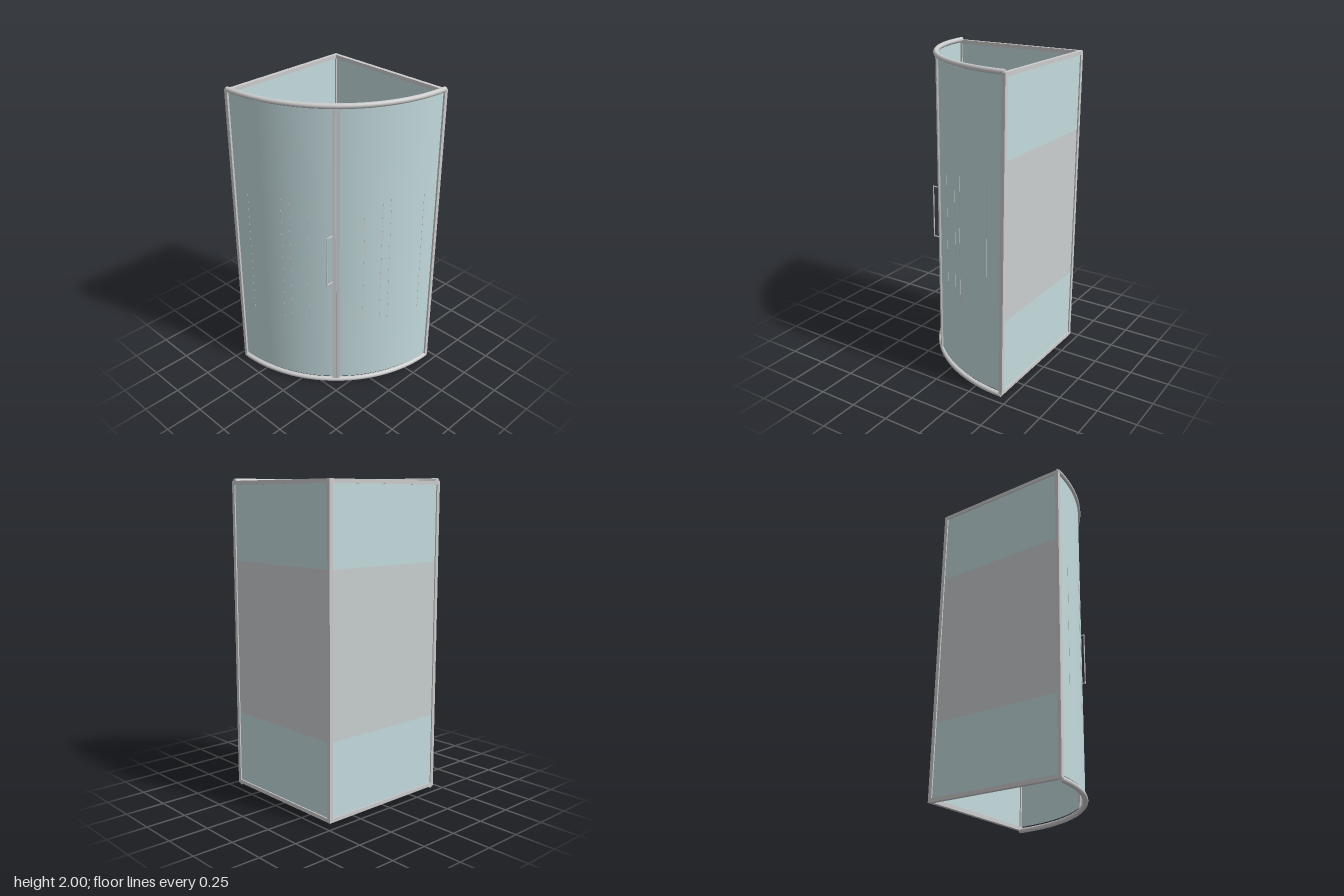
import * as THREE from 'three';

const C = -0.447;   // centre of the quarter circle, on both x and z
const R = 0.887;    // radius of the curved front
const RAIL = 0.016; // radius of the round rails
const END = 0.446;  // half length of the straight sides

export function createModel() {
  const root = new THREE.Group();
  const metal = new THREE.MeshStandardMaterial({ color: 0xcccccc });
  const glass = new THREE.MeshStandardMaterial({ color: 0xc4dbde, side: THREE.DoubleSide });
  const frosted = new THREE.MeshStandardMaterial({ color: 0xc9ced0 });

  const add = (name, geometry, material, x = 0, y = 0, z = 0, parent = root) => {
    const mesh = new THREE.Mesh(geometry, material);
    mesh.name = name;
    mesh.position.set(x, y, z);
    parent.add(mesh);
    return mesh;
  };
  const box = (name, w, h, d, x, y, z, material = metal) =>
    add(name, new THREE.BoxGeometry(w, h, d), material, x, y, z);

  // Straight walls: top and bottom rails, posts, and glass with a frosted middle band
  const S = 0.024;
  for (const alongX of [true, false]) {
    const side = alongX ? 'back' : 'right';
    const wall = (name, len, h, thick, y, material) => alongX
      ? box(name, len, h, thick, -0.003, y, -END, material)
      : box(name, thick, h, len, -END, y, -0.003, material);
    for (const y of [0.028, 1.972]) wall(side + 'Rail', 0.91, S, S, y, metal);
    for (const [y0, y1, m, n] of [[0.04, 0.5, glass, 'LowerGlass'],
      [0.5, 1.49, frosted, 'FrostedBand'], [1.49, 1.96, glass, 'UpperGlass']]) {
      wall(side + n, 0.88, y1 - y0, 0.008, (y0 + y1) / 2, m);
    }
  }
  for (const [x, z] of [[-END, -END], [0.44, -END], [-END, 0.44]]) {
    box('cornerPost', S, 1.968, S, x, 1, z);
  }

  // Round curved rails with closed ends
  for (const y of [RAIL, 2 - RAIL]) {
    const rail = new THREE.Group();
    rail.name = 'curvedRail';
    rail.position.set(C, y, C);
    root.add(rail);
    const arc = new THREE.TorusGeometry(R, RAIL, 20, 64, Math.PI / 2).rotateX(Math.PI / 2);
    add('railArc', arc, metal, 0, 0, 0, rail);
    const cap = new THREE.CircleGeometry(RAIL, 20);
    add('railEnd', cap, metal, R, 0, 0, rail).rotation.y = Math.PI;
    add('railEnd', cap, metal, 0, 0, R, rail).rotation.y = -Math.PI / 2;
  }

  // Two curved glass doors
  for (const start of [0, Math.PI / 4]) {
    add('curvedDoor', new THREE.CylinderGeometry(R, R, 1.926, 32, 1, true, start, Math.PI / 4),
      glass, C, 1.003, C);
  }

  // Paired door posts where the doors meet
  for (const s of [-1, 1]) {
    const a = Math.PI / 4 + s * 0.0135;
    box('doorPost', 0.021, 1.95, 0.02, C + R * Math.sin(a), 1, C + R * Math.cos(a)).rotation.y = a;
  }

  // Fine vertical lines on the doors
  for (const deg of [7.6, 23, 26.5, 33.8, 56.2, 63.5, 67, 82.4]) {
    const a = THREE.MathUtils.degToRad(deg);
    box('doorLine', 0.002, 0.88, 0.002, C + R * Math.sin(a), 0.93, C + R * Math.cos(a)).rotation.y = a;
  }

  // Door handle: upright bar on two short arms
  const handle = new THREE.Group();
  handle.name = 'handle';
  root.add(handle);
  const hx = 0.165, hz = 0.242, r = 0.004;
  add('handleBar', new THREE.CylinderGeometry(r, r, 0.346, 12), metal, hx, 0.983, hz, handle);
  for (const y of [0.814, 1.152]) {
    const arm = new THREE.CylinderGeometry(r, r, 0.05, 12).rotateX(Math.PI / 2);
    add('handleArm', arm, metal, hx, y, hz - 0.025, handle);
  }
  return root;
}
